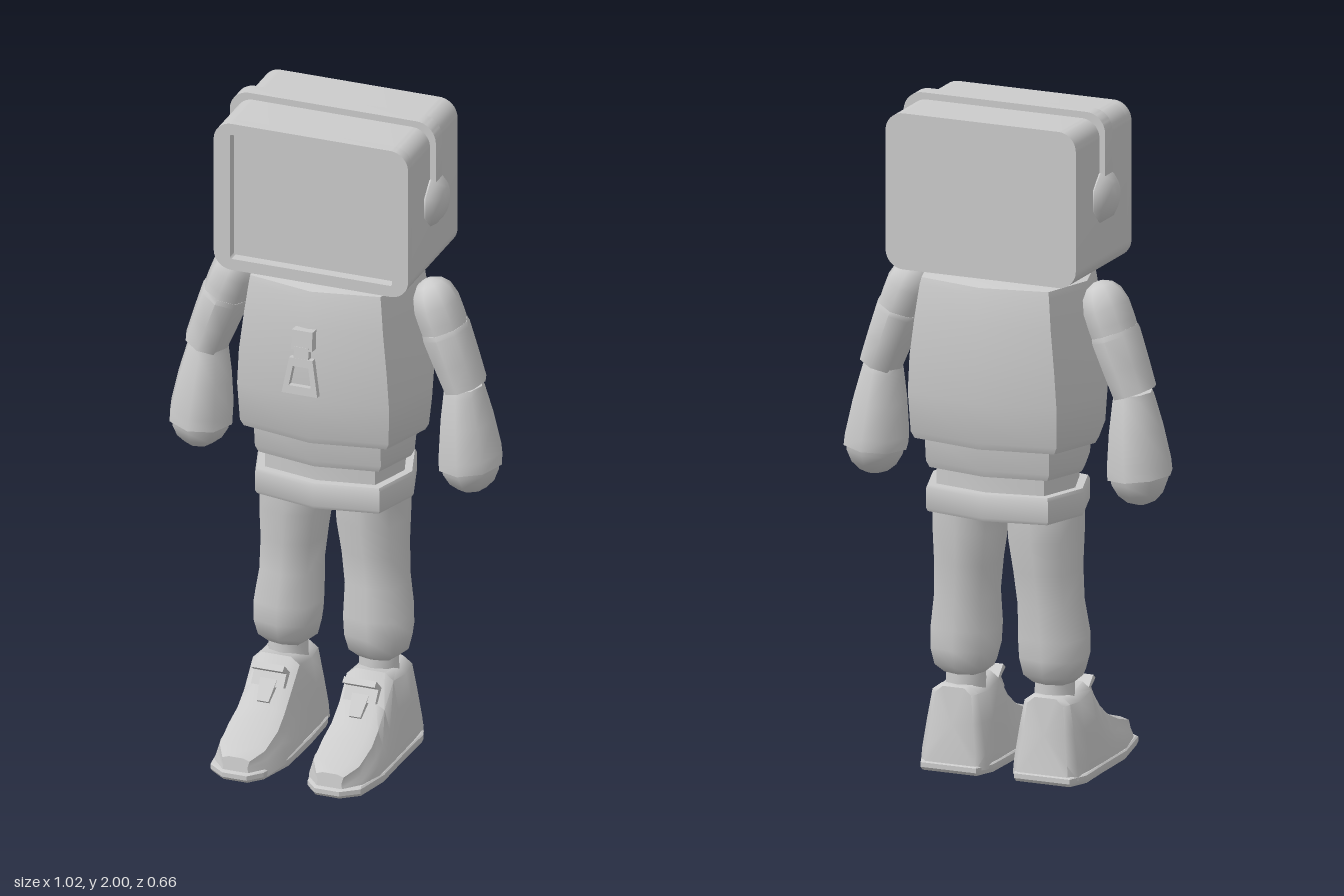
import * as THREE from 'three';
import { toCreasedNormals } from 'three/addons/utils/BufferGeometryUtils.js';

const material = new THREE.MeshStandardMaterial({ color: 0xcccccc });
const CZ = -0.105; // depth of the body axis

function add(parent, name, geometry, crease = 0.9) {
  const mesh = new THREE.Mesh(toCreasedNormals(geometry, crease), material);
  mesh.name = name;
  parent.add(mesh);
  return mesh;
}

// Eight-sided ring with a corner at the front; k squares off the diagonals
function ring(x, y, z, rx, rz, k = 0.707) {
  const plan = [[0, 1], [k, k], [1, 0], [k, -k], [0, -1], [-k, -k], [-1, 0], [-k, k]];
  return plan.map(([a, b]) => [x + a * rx, y, z + b * rz]);
}

// Skin a closed solid over a series of rings
function loft(rings) {
  const n = rings[0].length;
  const pos = rings.flat(2);
  const index = [];
  for (let i = 0; i < rings.length - 1; i++) {
    for (let j = 0; j < n; j++) {
      const a = i * n + j, b = i * n + (j + 1) % n;
      index.push(a, b, a + n, b, b + n, a + n);
    }
  }
  [0, rings.length - 1].forEach((r) => {
    const centre = pos.length / 3;
    for (let c = 0; c < 3; c++) pos.push(rings[r].reduce((s, p) => s + p[c], 0) / n);
    for (let j = 0; j < n; j++) {
      const a = r * n + j, b = r * n + (j + 1) % n;
      index.push(...(r === 0 ? [centre, b, a] : [centre, a, b]));
    }
  });
  // Turn the faces outward if the rings ran the other way
  const v = (i) => new THREE.Vector3().fromArray(pos, i * 3);
  let volume = 0;
  for (let i = 0; i < index.length; i += 3) {
    volume += v(index[i]).dot(v(index[i + 1]).cross(v(index[i + 2])));
  }
  if (volume < 0) index.reverse();
  const g = new THREE.BufferGeometry();
  g.setAttribute('position', new THREE.Float32BufferAttribute(pos, 3));
  g.setIndex(index);
  return g;
}

function roundedRect(w, y0, y1, r, Type = THREE.Shape) {
  const s = new Type();
  s.absarc(w - r, y0 + r, r, -Math.PI / 2, 0);
  s.absarc(w - r, y1 - r, r, 0, Math.PI / 2);
  s.absarc(-w + r, y1 - r, r, Math.PI / 2, Math.PI);
  s.absarc(-w + r, y0 + r, r, Math.PI, Math.PI * 1.5);
  s.closePath();
  return s;
}

function slab(shape, z0, z1) {
  return new THREE.ExtrudeGeometry(shape, { depth: z1 - z0, bevelEnabled: false, curveSegments: 6 })
    .translate(0, 0, z0);
}

function buildHead() {
  const head = new THREE.Group();
  head.name = 'head';
  add(head, 'headShell', slab(roundedRect(0.3, 1.515, 1.98, 0.055), -0.295, 0.06));
  const frame = roundedRect(0.3, 1.515, 1.98, 0.055);
  frame.holes.push(roundedRect(0.25, 1.55, 1.945, 0.006, THREE.Path));
  add(head, 'screenFrame', slab(frame, 0.06, 0.092));
  add(head, 'headband', slab(roundedRect(0.318, 1.72, 2.0, 0.06), -0.13, -0.08));
  // Domed ear cups
  const cup = [[0, 0.345], [0.04, 0.338], [0.068, 0.322], [0.08, 0.305], [0.074, 0.29], [0, 0.29]]
    .reverse().map(([r, y]) => new THREE.Vector2(r, y));
  for (const side of [1, -1]) {
    const g = new THREE.LatheGeometry(cup, 8, Math.PI / 8);
    g.rotateZ(-side * Math.PI / 2).translate(0, 1.75, CZ);
    add(head, side > 0 ? 'leftEarCup' : 'rightEarCup', g);
  }
  return head;
}

function buildBody() {
  const body = new THREE.Group();
  body.name = 'body';
  const stack = (name, rows) =>
    add(body, name, loft(rows.map(([y, rx, rz]) => ring(0, y, CZ, rx, rz, 0.8))));
  stack('neck', [[1.48, 0.15, 0.11], [1.53, 0.15, 0.11]]);
  stack('torso', [[1.01, 0.275, 0.205], [1.03, 0.287, 0.213], [1.15, 0.293, 0.225], [1.26, 0.285, 0.228],
    [1.38, 0.268, 0.22], [1.47, 0.255, 0.206], [1.49, 0.25, 0.2], [1.505, 0.17, 0.13]]);
  stack('jacketHem', [[0.92, 0.232, 0.17], [0.94, 0.243, 0.178], [1.02, 0.245, 0.185]]);
  stack('waist', [[0.86, 0.212, 0.155], [0.93, 0.212, 0.155]]);
  stack('belt', [[0.79, 0.235, 0.178], [0.8, 0.24, 0.183], [0.86, 0.24, 0.183], [0.87, 0.235, 0.178]]);

  // Zipper: slider and open hanging pull
  const zipper = new THREE.Group();
  zipper.name = 'zipper';
  add(zipper, 'zipperSlider', new THREE.BoxGeometry(0.064, 0.06, 0.035).translate(0, 0.165, -0.008));
  add(zipper, 'zipperBridge', new THREE.BoxGeometry(0.045, 0.05, 0.022).translate(0, 0.12, 0));
  const pull = new THREE.Shape([[-0.055, 0], [0.055, 0], [0.036, 0.11], [-0.036, 0.11]]
    .map((p) => new THREE.Vector2(...p)));
  pull.holes.push(new THREE.Path([[-0.034, 0.025], [-0.024, 0.085], [0.024, 0.085], [0.034, 0.025]]
    .map((p) => new THREE.Vector2(...p))));
  add(zipper, 'zipperPull', slab(pull, -0.008, 0.012));
  zipper.position.set(-0.008, 1.188, 0.15);
  zipper.rotation.x = -0.1;
  body.add(zipper);
  return body;
}

function buildArm() {
  const arm = new THREE.Group();
  const rows = (list) => loft(list.map(([y, r]) => ring(0, y, 0, r * 0.95, r * 1.08)));
  const upper = new THREE.Group();
  upper.name = 'upperArm';
  upper.position.set(0.31, 1.42, CZ);
  upper.rotation.z = 0.355;
  add(upper, 'shoulder', rows([[0.076, 0.016], [0.064, 0.042], [0.04, 0.062], [0, 0.073], [-0.05, 0.074], [-0.1, 0.072]]), 1.2);
  add(upper, 'sleeve', rows([[-0.075, 0.074], [-0.09, 0.077], [-0.18, 0.073], [-0.262, 0.068]]));
  const lower = new THREE.Group();
  lower.name = 'forearm';
  lower.position.set(0.395, 1.165, CZ);
  lower.rotation.z = 0.09;
  add(lower, 'cuff', rows([[0.01, 0.06], [-0.01, 0.066], [-0.1, 0.085], [-0.2, 0.1], [-0.235, 0.101]]));
  add(lower, 'hand', rows([[-0.22, 0.093], [-0.25, 0.09], [-0.285, 0.072], [-0.31, 0.045], [-0.32, 0.018]]), 1.2);
  arm.add(upper, lower);
  return arm;
}

function buildLeg() {
  const leg = new THREE.Group();
  // Trouser rows: height, x centre, z centre, x radius, z radius
  const trouser = [[0.285, 0.14, -0.09, 0.06, 0.06], [0.31, 0.14, -0.09, 0.09, 0.085], [0.36, 0.14, -0.088, 0.103, 0.096],
    [0.42, 0.138, -0.088, 0.104, 0.098], [0.52, 0.132, -0.096, 0.095, 0.093], [0.62, 0.125, -0.1, 0.098, 0.1],
    [0.72, 0.119, -0.1, 0.106, 0.113], [0.82, 0.117, -0.1, 0.108, 0.115]];
  add(leg, 'trouserLeg', loft(trouser.map(([y, x, z, rx, rz]) => ring(x, y, z, rx, rz, 0.77))), 1.2);
  add(leg, 'ankle', new THREE.CylinderGeometry(0.06, 0.064, 0.1, 8).translate(0.14, 0.26, -0.088));

  // Sole outline is shared by the rim and the slab
  const outline = [[0.105, 0.33], [0.18, 0.33], [0.232, 0.29], [0.253, 0.16], [0.255, 0], [0.26, -0.13],
    [0.235, -0.195], [0.06, -0.195], [0.035, -0.13], [0.033, 0], [0.04, 0.16], [0.068, 0.29]];
  const sole = (y, s) => outline.map(([x, z]) => [0.145 + (x - 0.145) * s, y + (z > 0.2 ? 0.008 : 0), 0.065 + (z - 0.065) * s]);
  add(leg, 'sole', loft([sole(0, 0.97), sole(0.01, 1), sole(0.024, 1), sole(0.028, 0.96)]), 0.5);

  // Shoe upper: arched slices from heel to toe (z low, z high, height, low half width, top half width)
  const slices = [[-0.19, -0.165, 0.25, 0.08, 0.045], [-0.165, -0.15, 0.255, 0.103, 0.06], [-0.09, -0.09, 0.25, 0.107, 0.065],
    [0, -0.005, 0.265, 0.106, 0.06], [0.06, 0.06, 0.195, 0.105, 0.058], [0.12, 0.115, 0.15, 0.104, 0.06],
    [0.18, 0.175, 0.122, 0.102, 0.064], [0.27, 0.26, 0.095, 0.084, 0.058], [0.322, 0.31, 0.077, 0.04, 0.03]];
  add(leg, 'shoe', loft(slices.map(([z0, z1, h, w, t]) => {
    const half = [[w, 0.015], [w * 0.97, 0.06 * Math.min(1, h / 0.12)], [(w + t) * 0.53, 0.55 * h + 0.01], [t + 0.012, 0.92 * h], [t * 0.75, h]];
    const at = ([x, y]) => [0.145 + x, y, THREE.MathUtils.lerp(z0, z1, y / h)];
    return [...half.map(at), ...half.slice().reverse().map(([x, y]) => at([-x, y]))];
  })), 0.8);

  // Tongue rising off the instep, with a small tab below it
  const tongue = new THREE.Shape([[0.0, 0.21], [0.05, 0.19], [0.075, 0.2], [0.05, 0.235], [0.08, 0.255], [0.065, 0.268], [0.03, 0.235]]
    .map(([z, y]) => new THREE.Vector2(-z, y)));
  const tongueGeo = slab(tongue, -0.05, 0.05).rotateY(Math.PI / 2).translate(0.142, 0, 0);
  add(leg, 'tongue', tongueGeo, 0.5);
  const tab = new THREE.Shape([[-0.018, -0.035], [0.018, -0.035], [0.026, 0.035], [-0.026, 0.035]]
    .map((p) => new THREE.Vector2(...p)));
  const tabMesh = add(leg, 'shoeTab', slab(tab, -0.012, 0.012));
  tabMesh.position.set(0.142, 0.185, 0.078);
  tabMesh.rotation.x = -0.75;
  return leg;
}

// Reflect a finished limb across x = 0, reversing its faces to match
function mirrored(limb) {
  const copy = new THREE.Group();
  limb.updateMatrixWorld(true);
  limb.traverse((o) => {
    if (!o.isMesh) return;
    const g = o.geometry.clone().applyMatrix4(o.matrixWorld).scale(-1, 1, 1);
    const order = [];
    for (let i = 0; i < g.attributes.position.count; i += 3) order.push(i, i + 2, i + 1);
    g.setIndex(order);
    const mesh = new THREE.Mesh(g, material);
    mesh.name = o.name;
    copy.add(mesh);
  });
  return copy;
}

export function createModel() {
  const model = new THREE.Group();
  model.name = 'screenHeadFigure';
  model.add(buildHead(), buildBody());
  for (const [name, limb] of [['Arm', buildArm()], ['Leg', buildLeg()]]) {
    const other = mirrored(limb);
    limb.name = 'left' + name;
    other.name = 'right' + name;
    model.add(limb, other);
  }
  return model;
}
